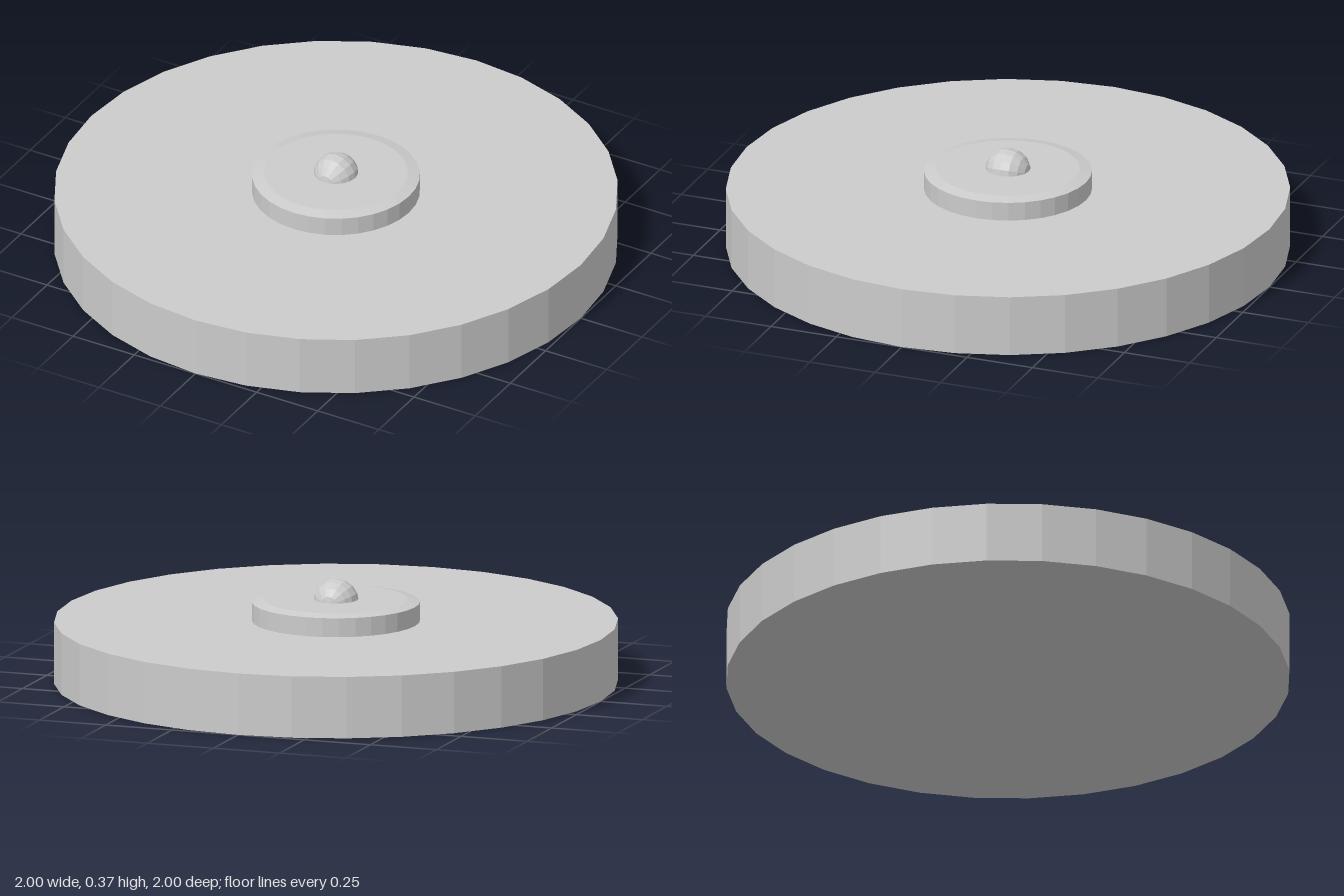
import * as THREE from 'three';

const SIDES = 32;
const material = new THREE.MeshStandardMaterial({ color: 0xcccccc, flatShading: true });

function addPart(group, name, geometry) {
  const mesh = new THREE.Mesh(geometry, material);
  mesh.name = name;
  group.add(mesh);
  return mesh;
}

// Faceted solid of revolution from [radius, height] pairs, bottom to top
function turned(profile) {
  return new THREE.LatheGeometry(profile.map(([r, y]) => new THREE.Vector2(r, y)), SIDES);
}

export function createModel() {
  const group = new THREE.Group();
  group.name = 'roundPlateWithKnob';

  // Wide flat disc
  addPart(group, 'baseDisc', turned([[0, 0], [1, 0], [1, 0.222], [0, 0.222]]));

  // Raised hub with a shallow bevel around its top
  addPart(group, 'hub', turned([[0, 0.21], [0.298, 0.21], [0.298, 0.29], [0.255, 0.299], [0, 0.299]]));

  // Small faceted ball, half sunk into the hub, poles facing front and back
  const ball = new THREE.SphereGeometry(0.081, 16, 8).rotateX(Math.PI / 2);
  addPart(group, 'knob', ball).position.y = 0.29;

  return group;
}
